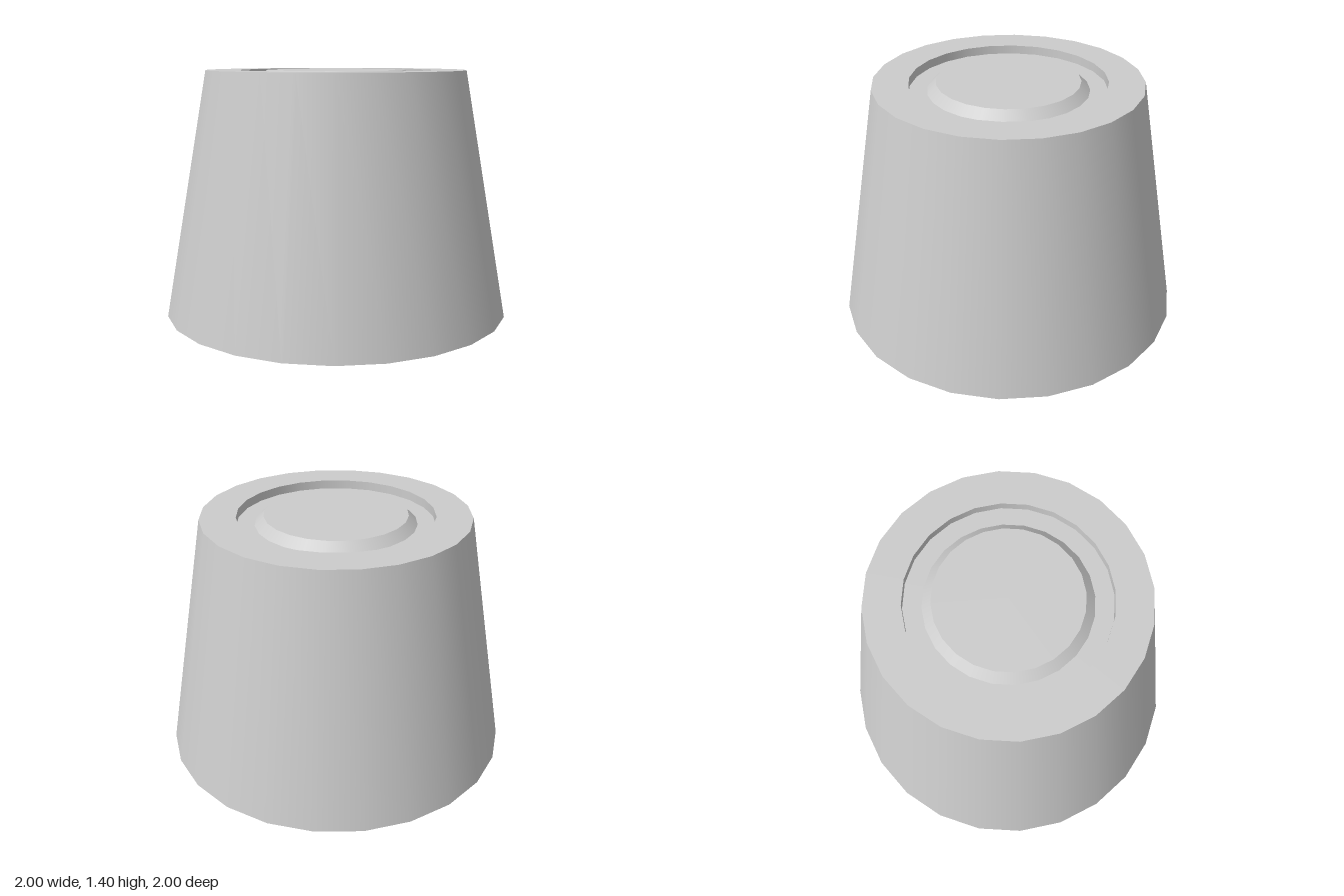
import * as THREE from 'three';

const SIDES = 24;
const material = new THREE.MeshStandardMaterial({ color: 0xcccccc });

// Each strip is its own lathe, so it is smooth around and sharp at its rims.
// Profiles run counter-clockwise around the solid, which keeps faces outward.
function ringStrips(name, profile) {
  const group = new THREE.Group();
  group.name = name;
  const points = profile.map(([r, y]) => new THREE.Vector2(r, y));
  for (let i = 0; i < points.length - 1; i++) {
    const strip = new THREE.Mesh(
      new THREE.LatheGeometry([points[i], points[i + 1]], SIDES), material);
    strip.name = `${name}Surface${i + 1}`;
    group.add(strip);
  }
  return group;
}

export function createModel() {
  const model = new THREE.Group();
  model.name = 'taperedFoot';
  model.add(
    // shallow hollow under the base
    ringStrips('baseRecess', [[0, 0.1], [0.8, 0.1], [0.8, 0]]),
    // base rim, tapered wall and top rim
    ringStrips('body', [[0.8, 0], [1, 0], [0.75, 1.4], [0.55, 1.4]]),
    // groove sunk into the top
    ringStrips('topGroove', [[0.55, 1.4], [0.55, 1.35], [0.45, 1.35]]),
    // bevelled disc inside the groove
    ringStrips('topButton', [[0.45, 1.35], [0.4, 1.4], [0, 1.4]]),
  );
  return model;
}
